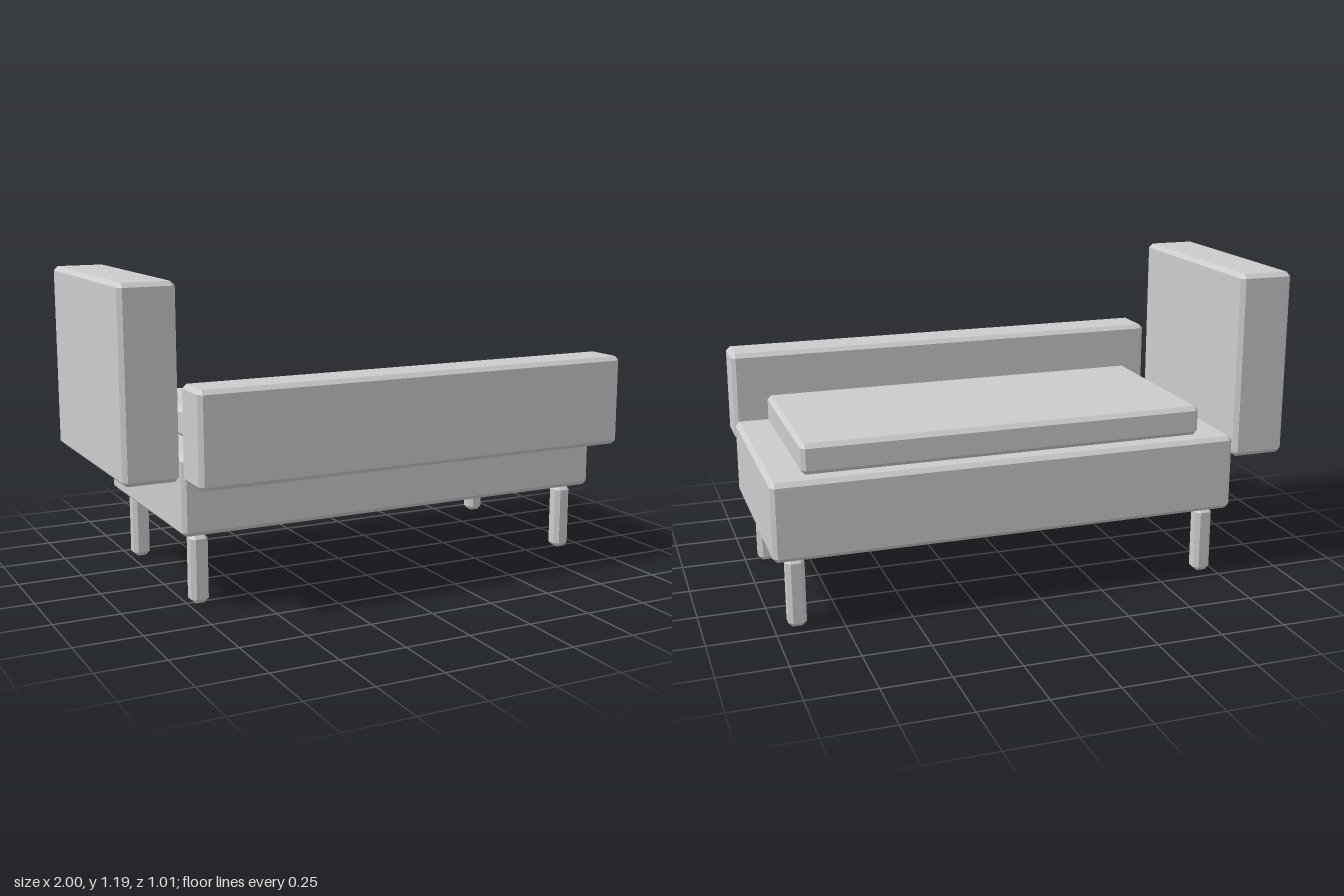
import * as THREE from 'three';
import { ConvexGeometry } from 'three/addons/geometries/ConvexGeometry.js';

const BEVEL = 0.016;
const material = new THREE.MeshStandardMaterial({ color: 0xcccccc, flatShading: true });

// Box with single-step bevels: each corner is cut into three points
function bevelledBox(name, [x0, x1], [y0, y1], [z0, z1]) {
  const half = new THREE.Vector3(x1 - x0, y1 - y0, z1 - z0).multiplyScalar(0.5);
  const points = [];
  for (const sx of [-1, 1]) for (const sy of [-1, 1]) for (const sz of [-1, 1]) {
    for (const axis of ['x', 'y', 'z']) {
      const p = half.clone().subScalar(BEVEL);
      p[axis] += BEVEL;
      points.push(p.multiply(new THREE.Vector3(sx, sy, sz)));
    }
  }
  const mesh = new THREE.Mesh(new ConvexGeometry(points), material);
  mesh.name = name;
  mesh.position.set((x0 + x1) / 2, (y0 + y1) / 2, (z0 + z1) / 2);
  return mesh;
}

export function createModel() {
  const group = new THREE.Group();
  group.name = 'daybed';

  // Upholstered body
  group.add(
    bevelledBox('base', [-0.785, 1], [0.272, 0.566], [-0.505, 0.328]),
    bevelledBox('cushion', [-0.665, 0.878], [0.566, 0.68], [-0.446, 0.268]),
    bevelledBox('endPanel', [-1, -0.79], [0.48, 1.192], [-0.505, 0.328]),
    bevelledBox('sidePanel', [-0.785, 1], [0.48, 0.835], [0.332, 0.508])
  );

  // Four legs under the base
  const r = 0.034;
  for (const x of [-0.703, 0.914]) for (const z of [-0.422, 0.247]) {
    group.add(bevelledBox('leg', [x - r, x + r], [0, 0.262], [z - r, z + r]));
  }
  return group;
}
